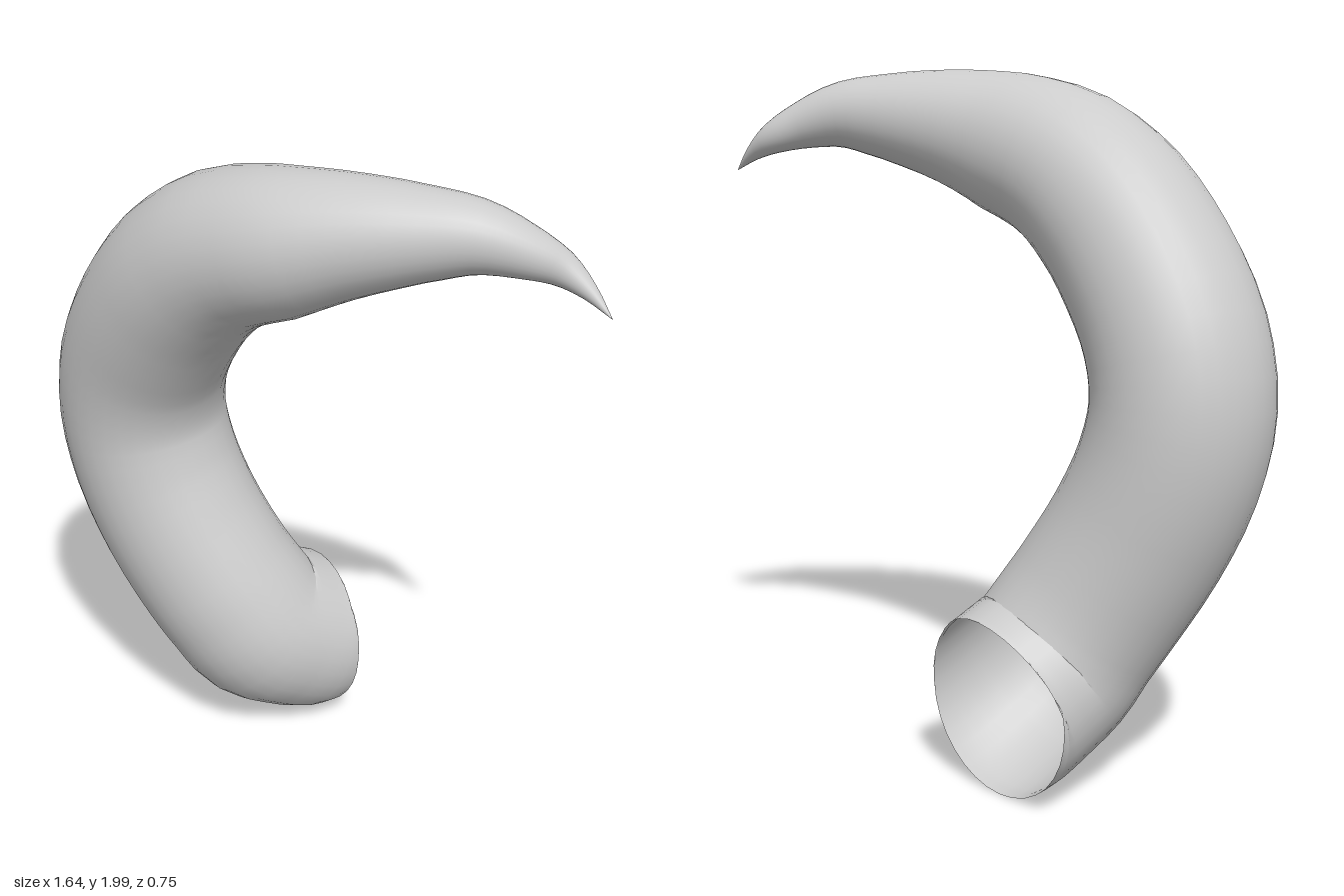
import * as THREE from 'three';

// Horn stations from open root to tip: centre x, y, z and radius
const STATIONS = [
  [-0.26, 0.265, -0.29, 0.264],
  [-0.26, 0.27, -0.265, 0.264],
  [-0.27, 0.31, -0.185, 0.262],
  [-0.285, 0.36, -0.105, 0.26],
  [-0.32, 0.45, -0.05, 0.256],
  [-0.375, 0.56, 0.0, 0.255],
  [-0.465, 0.735, 0.055, 0.255],
  [-0.54, 0.92, 0.09, 0.255],
  [-0.57, 1.1, 0.108, 0.254],
  [-0.53, 1.28, 0.118, 0.252],
  [-0.42, 1.46, 0.125, 0.247],
  [-0.29, 1.61, 0.12, 0.24],
  [-0.14, 1.72, 0.1, 0.226],
  [0.06, 1.79, 0.055, 0.203],
  [0.22, 1.835, -0.02, 0.165],
  [0.39, 1.863, -0.125, 0.124],
  [0.5, 1.868, -0.2, 0.097],
  [0.595, 1.838, -0.275, 0.07],
  [0.665, 1.8, -0.335, 0.047],
  [0.74, 1.755, -0.358, 0.023],
  [0.815, 1.703, -0.365, 0.0005],
];
const SIDES = 32;
const STEPS = 3; // rings per station interval

// Sweeps a circle of changing radius along the curve, keeping twist minimal
function sweep(stations) {
  const path = new THREE.CatmullRomCurve3(stations.map(([x, y, z]) => new THREE.Vector3(x, y, z)));
  const radii = stations.map((s) => s[3]);
  const rings = (stations.length - 1) * STEPS;
  const positions = [], index = [];
  const side = new THREE.Vector3(1, 0, 0), up = new THREE.Vector3();

  for (let i = 0; i <= rings; i++) {
    const t = i / rings;
    const centre = path.getPoint(t);
    const dir = i === 0 ? new THREE.Vector3(0, 0.04, 1).normalize() : path.getTangent(t);
    side.addScaledVector(dir, -side.dot(dir)).normalize();
    up.crossVectors(dir, side);
    const k = Math.min(Math.floor(i / STEPS), radii.length - 2);
    const r = THREE.MathUtils.lerp(radii[k], radii[k + 1], i / STEPS - k);
    for (let j = 0; j < SIDES; j++) {
      const a = (j / SIDES) * Math.PI * 2;
      const p = centre.clone()
        .addScaledVector(side, r * Math.cos(a))
        .addScaledVector(up, r * Math.sin(a));
      positions.push(p.x, p.y, p.z);
    }
  }
  for (let i = 0; i < rings; i++) {
    for (let j = 0; j < SIDES; j++) {
      const a = i * SIDES + j, b = i * SIDES + ((j + 1) % SIDES);
      index.push(a, b, b + SIDES, a, b + SIDES, a + SIDES);
    }
  }
  const geometry = new THREE.BufferGeometry();
  geometry.setAttribute('position', new THREE.Float32BufferAttribute(positions, 3));
  geometry.setIndex(index);
  geometry.computeVertexNormals();
  return geometry;
}

export function createModel() {
  const model = new THREE.Group();
  model.name = 'curvedHorn';
  // Thin hollow shell, open at the root
  const material = new THREE.MeshStandardMaterial({ color: 0xcccccc, side: THREE.DoubleSide });
  const horn = new THREE.Mesh(sweep(STATIONS), material);
  horn.name = 'horn';
  model.add(horn);
  return model;
}
